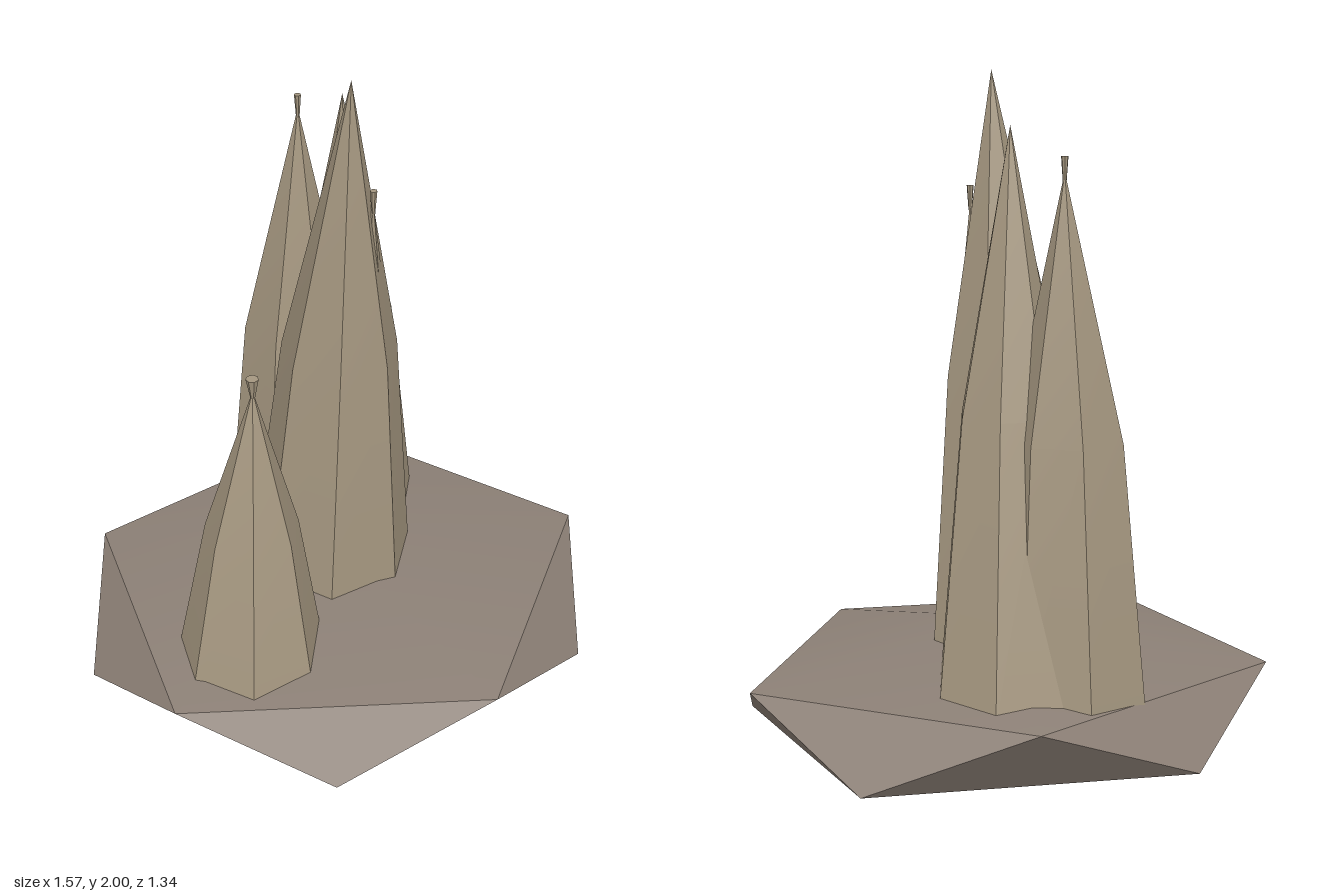
import * as THREE from 'three';
import { toCreasedNormals } from 'three/addons/utils/BufferGeometryUtils.js';
import { ConvexGeometry } from 'three/addons/geometries/ConvexGeometry.js';

const FLOOR = 0.3; // height at which the spires are rooted in the rock
const rockMaterial = new THREE.MeshStandardMaterial({ color: 0x8c8076 });
const spireMaterial = new THREE.MeshStandardMaterial({ color: 0xa59780 });

// Squashed twenty-sided rock: two staggered rings of five corners and two poles
function createRock() {
  const points = [new THREE.Vector3(0, 0, 0), new THREE.Vector3(0, 0.43, 0)];
  for (let i = 0; i < 5; i++) {
    const a = (i / 5) * Math.PI * 2;
    const x = Math.cos(a) * 0.787, z = Math.sin(a) * 0.705;
    points.push(new THREE.Vector3(x, 0.315, z), new THREE.Vector3(-x, 0.13, -z));
  }
  const rock = new THREE.Mesh(toCreasedNormals(new ConvexGeometry(points), 0.45), rockMaterial);
  rock.name = 'rockBase';
  return rock;
}

// Seven-sided leaning spire with a swollen middle and an optional flared tip
function createSpire({ name, base, tip, radius, swell, turn, knob }) {
  const group = new THREE.Group();
  group.name = name;
  const height = tip[1] - FLOOR;
  const start = Math.PI / 2 - THREE.MathUtils.degToRad(turn);
  const geometry = new THREE.CylinderGeometry(0, radius, height, 7, 2, false, start);
  const pos = geometry.attributes.position;
  for (let i = 0; i < pos.count; i++) {
    const t = pos.getY(i) / height + 0.5; // 0 at the root, 1 at the tip
    const k = Math.abs(t - 0.5) < 0.1 ? swell * 2 : 1;
    pos.setXYZ(
      i,
      pos.getX(i) * k + THREE.MathUtils.lerp(base[0], tip[0], t),
      FLOOR + t * height,
      pos.getZ(i) * k + THREE.MathUtils.lerp(base[1], tip[2], t)
    );
  }
  const body = new THREE.Mesh(toCreasedNormals(geometry, 0.5), spireMaterial);
  body.name = 'spireBody';
  group.add(body);

  if (knob) {
    const flare = new THREE.Mesh(
      toCreasedNormals(new THREE.CylinderGeometry(knob, 0.005, 0.07, 7), 0.5), spireMaterial);
    flare.name = 'flaredTip';
    flare.position.set(tip[0], tip[1] + 0.005, tip[2]);
    group.add(flare);
  }
  return group;
}

// base is [x, z], tip is [x, y, z]
const SPIRES = [
  { name: 'tallSpire', base: [-0.01, -0.045], tip: [0.02, 2.0, 0.045], radius: 0.255, swell: 0.66, turn: 6 },
  { name: 'innerSpire', base: [0, -0.04], tip: [0.077, 1.64, 0.065], radius: 0.2, swell: 0.66, turn: 6, knob: 0.01 },
  { name: 'sideSpire', base: [0.155, -0.34], tip: [0.075, 1.85, -0.175], radius: 0.22, swell: 0.67, turn: 0 },
  { name: 'rearSpire', base: [-0.005, -0.39], tip: [0.01, 1.73, -0.36], radius: 0.218, swell: 0.74, turn: -23, knob: 0.01 },
  { name: 'shortSpire', base: [-0.355, 0.24], tip: [-0.315, 1.22, 0.205], radius: 0.218, swell: 0.62, turn: 3, knob: 0.018 },
];

export function createModel() {
  const model = new THREE.Group();
  model.name = 'spireRock';
  model.add(createRock(), ...SPIRES.map(createSpire));
  return model;
}
